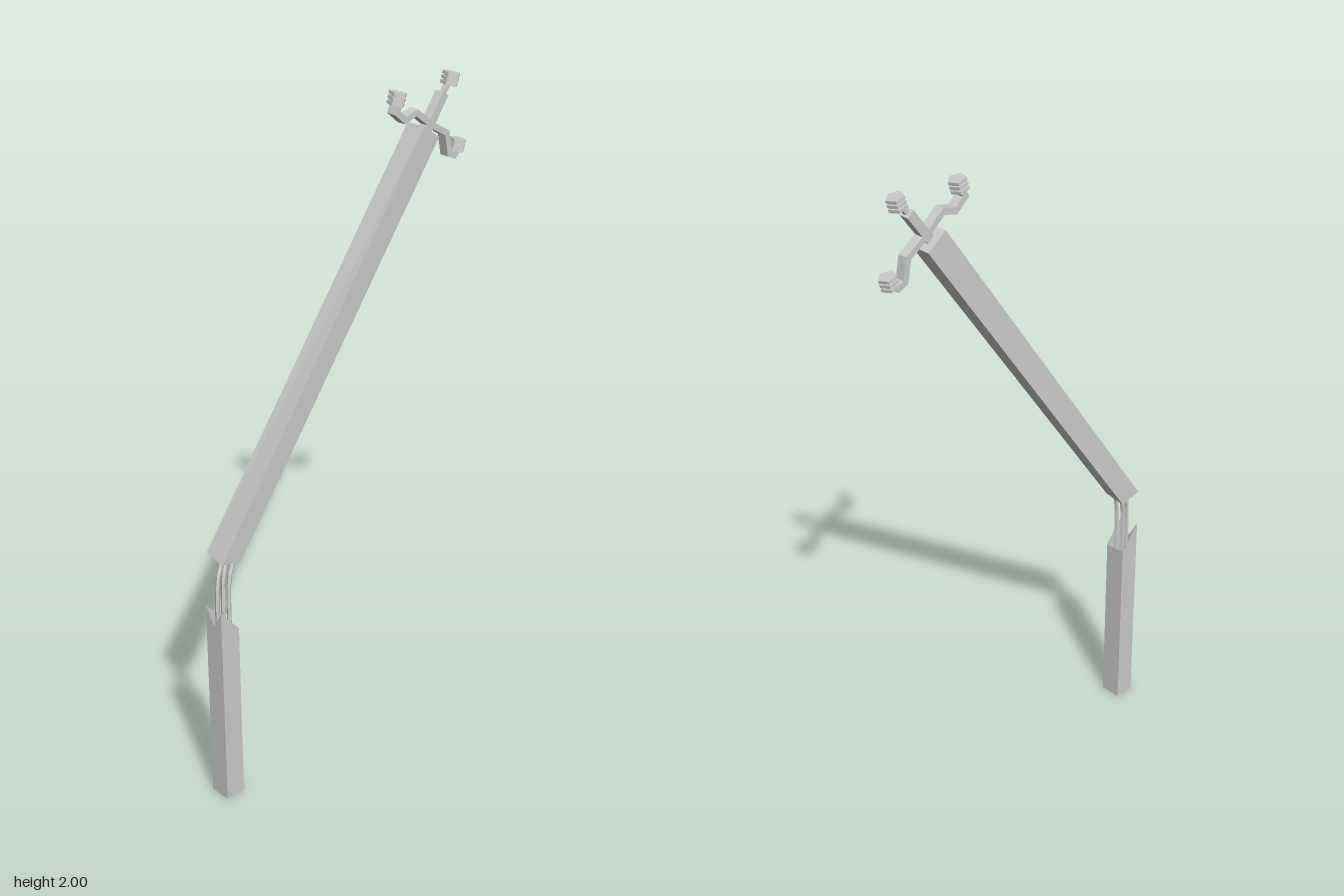
import * as THREE from 'three';

const mat = new THREE.MeshStandardMaterial({ color: 0xcccccc, flatShading: true, side: THREE.DoubleSide });

function add(group, name, geometry) {
  const mesh = new THREE.Mesh(geometry, mat);
  mesh.name = name;
  group.add(mesh);
  return mesh;
}

// Walls joining two rings of [x, y, z] corners, with an optional top cap
function walls(bottom, top, capped) {
  const pos = [];
  const n = bottom.length;
  for (let i = 0; i < n; i++) {
    const j = (i + 1) % n;
    pos.push(...bottom[i], ...bottom[j], ...top[j], ...bottom[i], ...top[j], ...top[i]);
    if (capped && i > 0 && i < n - 1) pos.push(...top[0], ...top[i], ...top[j]);
  }
  const g = new THREE.BufferGeometry();
  g.setAttribute('position', new THREE.Float32BufferAttribute(pos, 3));
  g.computeVertexNormals();
  return g;
}

// Flat bar following a path in the front plane, with mitred bends
function bar(points, width, depth, z) {
  const p = points.map(([x, y]) => new THREE.Vector2(x, y));
  const left = [], right = [];
  p.forEach((v, i) => {
    const a = p[Math.max(i - 1, 0)], b = p[Math.min(i + 1, p.length - 1)];
    const d1 = (i ? v.clone().sub(a) : b.clone().sub(v)).normalize();
    const d2 = (i < p.length - 1 ? b.clone().sub(v) : d1.clone()).normalize();
    const t = d1.clone().add(d2).normalize();
    const normal = new THREE.Vector2(-t.y, t.x);
    const k = width / 2 / Math.max(t.dot(d1), 0.6);
    left.push(v.clone().addScaledVector(normal, k));
    right.unshift(v.clone().addScaledVector(normal, -k));
  });
  const g = new THREE.ExtrudeGeometry(new THREE.Shape([...left, ...right]), { depth, bevelEnabled: false });
  return g.translate(0, 0, z - depth / 2);
}

export function createModel() {
  const model = new THREE.Group();
  model.name = 'jointedPole';

  // Hollow lower post with a slanted, notched mouth
  const plan = [[-0.412, 0.032], [-0.412, -0.032], [-0.476, -0.032], [-0.476, 0], [-0.476, 0.032]];
  const rim = [0.57, 0.57, 0.648, 0.59, 0.648];
  add(model, 'lowerPost', walls(
    plan.map(([x, z]) => [x, 0, z]),
    plan.map(([x, z], i) => [x, rim[i], z])));

  // Bent rods linking the post and the long beam
  [[-0.461, 0, 0], [-0.429, 0.012, 1], [-0.429, -0.012, 1]].forEach(([x, z, inner]) => {
    const curve = new THREE.CatmullRomCurve3([
      [x, 0.56, z], [x, 0.64, z], [x + 0.006, 0.73, z - 0.002],
      [x + 0.028, 0.785, z - 0.008], [x + 0.06, 0.84, z - 0.014],
    ].map((q) => new THREE.Vector3(...q)));
    add(model, inner ? 'innerRod' : 'outerRod', new THREE.TubeGeometry(curve, 8, 0.007, 5));
  });

  // Long leaning beam
  add(model, 'longBeam', walls(
    [[-0.388, 0.775, 0.02], [-0.376, 0.775, -0.056], [-0.442, 0.792, -0.06], [-0.455, 0.79, 0.02]],
    [[0.338, 1.832, 0.057], [0.338, 1.832, -0.004], [0.277, 1.875, -0.004], [0.277, 1.875, 0.057]], true));

  // Cranked crossbar and the straight tip stem
  const z = 0.03;
  add(model, 'crossbar', bar([
    [0.196, 1.952], [0.186, 1.93], [0.219, 1.902], [0.262, 1.914],
    [0.325, 1.865], [0.386, 1.828], [0.398, 1.766], [0.42, 1.756], [0.438, 1.772],
  ], 0.018, 0.028, z));
  add(model, 'tipStem', bar([[0.3, 1.84], [0.374, 1.942]], 0.026, 0.028, z));
  add(model, 'tipNeck', bar([[0.37, 1.937], [0.396, 1.972]], 0.013, 0.014, z + 0.003));

  // Five-sided knobs, each a stack of discs on a core
  const axis = new THREE.Vector3(0.25, 0.97, 0.06).normalize();
  const ends = [['leftKnob', 0.443, 1.779, 0.029], ['rightKnob', 0.199, 1.964, 0.029], ['tipKnob', 0.403, 1.977, 0.034]];
  for (const [name, x, y, kz] of ends) {
    const knob = new THREE.Group();
    knob.name = name;
    add(knob, 'knobCore', new THREE.CylinderGeometry(0.02, 0.02, 0.034, 5));
    for (const h of [-0.013, 0, 0.013]) {
      add(knob, 'knobDisc', new THREE.CylinderGeometry(0.026, 0.026, 0.009, 5)).position.y = h;
    }
    knob.position.set(x, y, kz);
    knob.quaternion.setFromUnitVectors(new THREE.Vector3(0, 1, 0), axis);
    model.add(knob);
  }
  return model;
}
